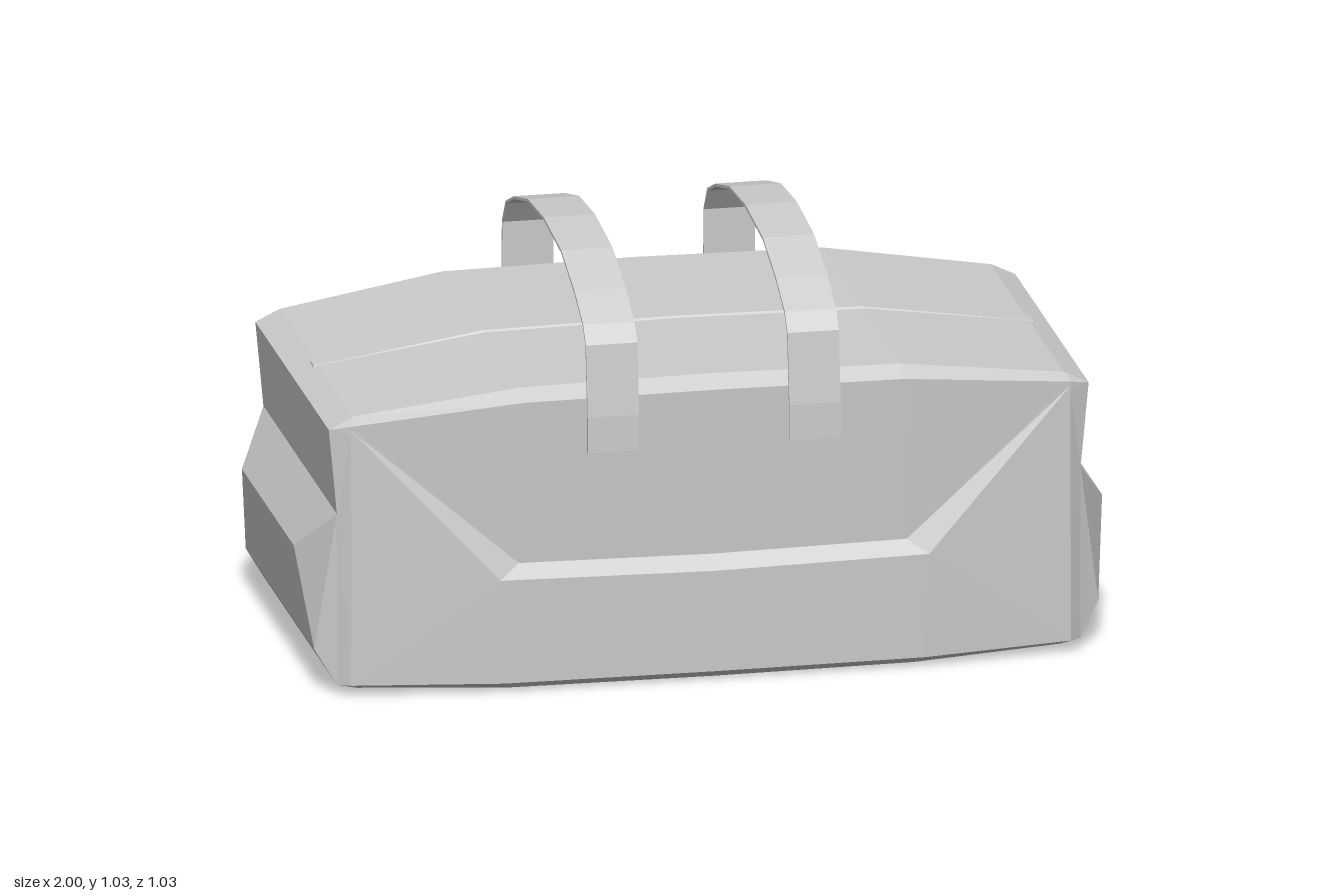
import * as THREE from 'three';

const material = new THREE.MeshStandardMaterial({ color: 0xcccccc, flatShading: true, side: THREE.DoubleSide });

// Collects triangles and turns each one to face away from a centre point
function faceBuilder(center) {
  const pos = [];
  const v = p => new THREE.Vector3(...p);
  const tri = (a, b, c) => {
    const A = v(a), B = v(b), C = v(c);
    const n = B.clone().sub(A).cross(C.clone().sub(A));
    if (n.dot(A.clone().sub(center)) < 0) pos.push(...a, ...c, ...b);
    else pos.push(...a, ...b, ...c);
  };
  const quad = (a, b, c, d) => { tri(a, b, c); tri(a, c, d); };
  const build = () => {
    const g = new THREE.BufferGeometry();
    g.setAttribute('position', new THREE.Float32BufferAttribute(pos, 3));
    g.computeVertexNormals();
    return g;
  };
  return { tri, quad, build };
}

// Cross-sections of the bag from the middle to the end, as [x, y, z] loops:
// top back, back upper, back lower, bottom back, bottom front,
// front lower, crease low, crease high, front upper, top front
const sections = [
  [[0, 0.768, -0.475], [0, 0.742, -0.508], [0, 0.022, -0.508], [0, 0, -0.475], [0, 0, 0.475],
    [0, 0.022, 0.508], [0, 0.28, 0.516], [0, 0.315, 0.488], [0, 0.738, 0.508], [0, 0.768, 0.468]],
  [[0.47, 0.762, -0.475], [0.47, 0.735, -0.508], [0.5, 0.024, -0.508], [0.5, 0.003, -0.475], [0.5, 0.003, 0.475],
    [0.52, 0.024, 0.508], [0.53, 0.288, 0.514], [0.48, 0.322, 0.488], [0.47, 0.735, 0.508], [0.47, 0.762, 0.468]],
  [[0.88, 0.704, -0.44], [0.89, 0.685, -0.47], [0.89, 0.03, -0.47], [0.87, 0.015, -0.44], [0.87, 0.015, 0.44],
    [0.89, 0.03, 0.468], [0.89, 0.665, 0.466], [0.89, 0.678, 0.466], [0.89, 0.688, 0.466], [0.88, 0.704, 0.435]],
];

// Folded end panel, rows from top to bottom as [x, y, half depth]
const endRows = [[0.94, 0.675, 0.44], [0.92, 0.46, 0.44], [1, 0.345, 0.31], [0.97, 0.11, 0.41], [0.92, 0.026, 0.44]];

function bodyGeometry() {
  const { tri, quad, build } = faceBuilder(new THREE.Vector3(0, 0.38, 0));
  for (const s of [1, -1]) {
    const flip = ([x, y, z]) => [x * s, y, z];
    const rings = sections.map(r => r.map(flip));
    // long skin: top, back, bottom and creased front
    for (let i = 0; i < 2; i++) {
      const a = rings[i], b = rings[i + 1];
      for (let j = 0; j < 10; j++) {
        const k = (j + 1) % 10;
        if (j === 5) quad(b[j], b[k], a[k], a[j]);
        else quad(a[j], b[j], b[k], a[k]);
      }
    }
    // folded end panel
    const side = m => endRows.map(([x, y, z]) => flip([x, y, z * m]));
    const F = side(1), B = side(-1), R = rings[2];
    for (let i = 0; i < 4; i++) quad(F[i], B[i], B[i + 1], F[i + 1]);
    quad(R[9], R[0], B[0], F[0]);
    quad(R[4], R[3], B[4], F[4]);
    // corner gussets between the skin and the panel
    const gusset = (E, top, edge, low, bottom) => {
      tri(E[1], E[2], E[3]);
      tri(E[1], E[3], E[4]);
      tri(E[1], E[4], low);
      tri(E[1], low, edge[0]);
      tri(E[1], edge[0], E[0]);
      const chain = [...edge, top];
      for (let i = 0; i < chain.length - 1; i++) tri(E[0], chain[i], chain[i + 1]);
      tri(E[4], low, bottom);
    };
    gusset(F, R[9], [R[6], R[7], R[8]], R[5], R[4]);
    gusset(B, R[0], [R[1]], R[2], R[3]);
  }
  return build();
}

// Low ridge that follows the curved top
function zipperGeometry() {
  const { quad, build } = faceBuilder(new THREE.Vector3(0, 0.3, 0));
  const stations = [[-0.89, 0.697], [-0.47, 0.761], [0, 0.767], [0.47, 0.761], [0.89, 0.697]];
  const profile = [[-0.032, -0.002], [-0.022, 0.006], [0.018, 0.006], [0.024, -0.002]];
  const rings = stations.map(([x, y]) => profile.map(([z, h]) => [x, y + h, z]));
  for (let i = 0; i < 4; i++)
    for (let j = 0; j < 3; j++)
      quad(rings[i][j], rings[i + 1][j], rings[i + 1][j + 1], rings[i][j + 1]);
  for (const e of [rings[0], rings[4]]) quad(...e);
  return build();
}

// Flat strap arching from front to back, path in [z, y]
function handleGeometry(width, thickness) {
  const path = [[0.519, 0.6], [0.518, 0.69], [0.497, 0.867], [0.463, 0.91], [0.36, 0.963], [0.2, 1.017], [-0.01, 1.035],
    [-0.2, 1.022], [-0.37, 0.976], [-0.467, 0.934], [-0.511, 0.87], [-0.516, 0.7], [-0.515, 0.58]]
    .map(p => new THREE.Vector2(...p));
  const inner = path.map((p, i) => {
    const t = path[Math.min(i + 1, path.length - 1)].clone().sub(path[Math.max(i - 1, 0)]).normalize();
    return new THREE.Vector2(p.x - t.y * thickness, p.y + t.x * thickness);
  });
  const g = new THREE.ExtrudeGeometry(new THREE.Shape([...path, ...inner.reverse()]), { depth: width, bevelEnabled: false });
  return g.translate(0, 0, -width / 2).rotateY(-Math.PI / 2);
}

export function createModel() {
  const group = new THREE.Group();
  group.name = 'travelBag';
  const add = (name, geometry, x = 0) => {
    const mesh = new THREE.Mesh(geometry, material);
    mesh.name = name;
    mesh.position.x = x;
    group.add(mesh);
  };
  add('body', bodyGeometry());
  add('zipper', zipperGeometry());
  const strap = handleGeometry(0.127, 0.007);
  add('leftHandle', strap, 0.247);
  add('rightHandle', strap, -0.252);
  return group;
}
